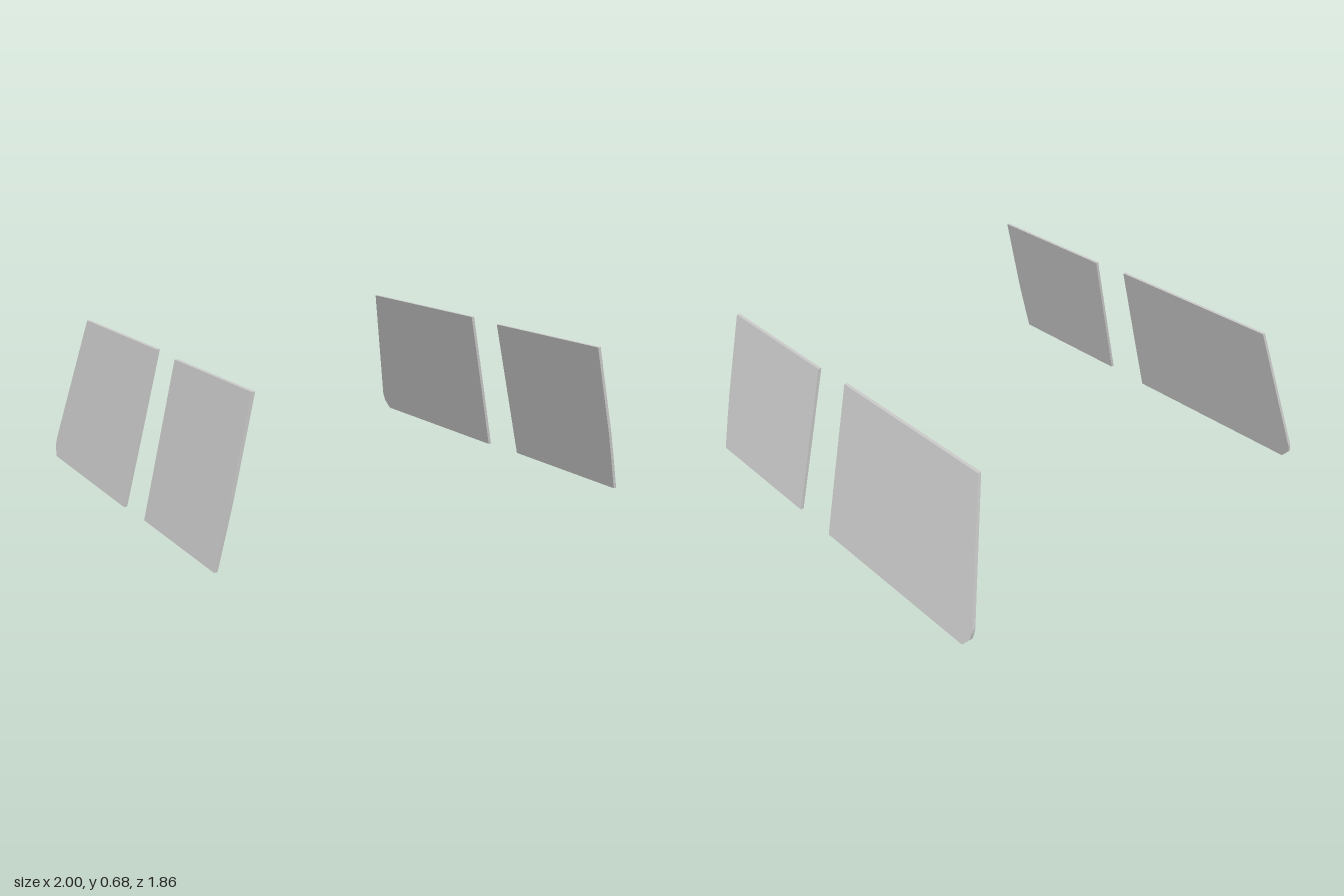
import * as THREE from 'three';

const THICKNESS = 0.015;
const LEAN = 0.238; // inward lean per unit of height

// Outlines as [z, y]
const frontOutline = [
  [0.247, 0.008], [0.916, 0.008], [0.925, 0.17], [0.93, 0.28], [0.93, 0.669], [0.247, 0.669],
];
const rearOutline = [
  [-0.89, 0], [0.022, 0], [0.038, 0.3], [0.055, 0.678], [-0.807, 0.678],
  [-0.93, 0.085], [-0.93, 0.07], [-0.925, 0.04],
];

// Thin leaning pane; side is +1 for left, -1 for right
function makePane(name, outline, side, material) {
  const shape = new THREE.Shape(outline.map(([z, y]) => new THREE.Vector2(z, y)));
  const geometry = new THREE.ExtrudeGeometry(shape, { depth: THICKNESS, bevelEnabled: false });
  geometry.rotateY(-Math.PI / 2); // outline runs along z, thickness along -x
  geometry.translate(side > 0 ? 1 : THICKNESS - 1, 0, 0);

  // Shear the upright pane inward towards the top
  const p = geometry.attributes.position;
  for (let i = 0; i < p.count; i++) p.setX(i, p.getX(i) - side * LEAN * p.getY(i));
  geometry.computeVertexNormals();

  const mesh = new THREE.Mesh(geometry, material);
  mesh.name = name;
  return mesh;
}

export function createModel() {
  const group = new THREE.Group();
  group.name = 'sideWindows';
  const material = new THREE.MeshStandardMaterial({ color: 0xcccccc });
  for (const [label, side] of [['Left', 1], ['Right', -1]]) {
    group.add(makePane(`front${label}Window`, frontOutline, side, material));
    group.add(makePane(`rear${label}Window`, rearOutline, side, material));
  }
  return group;
}
